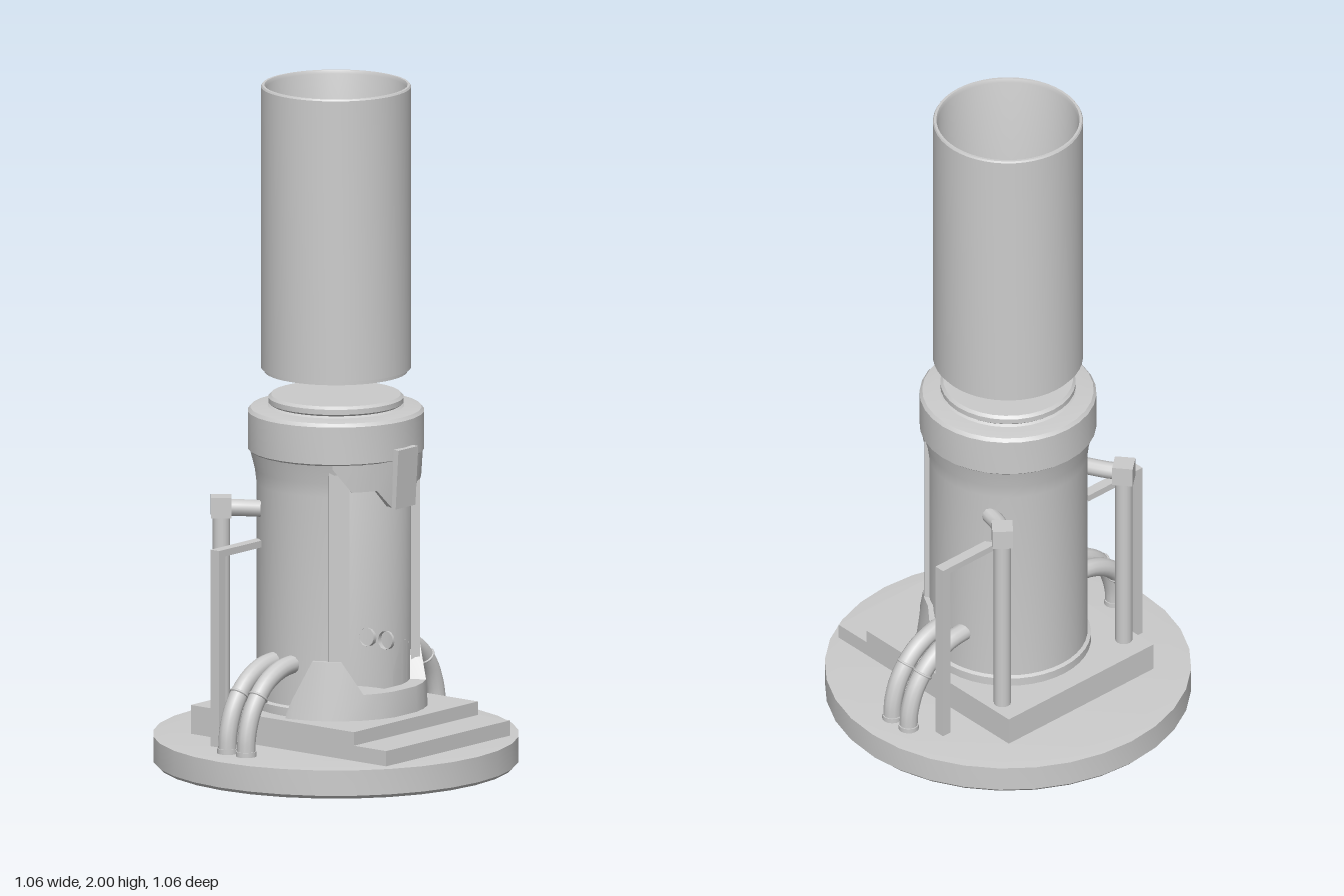
import * as THREE from 'three';
import { toCreasedNormals, mergeVertices } from 'three/addons/utils/BufferGeometryUtils.js';

const DEG = Math.PI / 180;
const material = new THREE.MeshStandardMaterial({ color: 0xcccccc, side: THREE.DoubleSide });

function add(parent, name, geometry, x = 0, y = 0, z = 0) {
  const mesh = new THREE.Mesh(geometry, material);
  mesh.name = name;
  mesh.position.set(x, y, z);
  parent.add(mesh);
  return mesh;
}

// Turned part from [radius, height] points, optionally only part of a circle
function turned(points, start = 0, sweep = Math.PI * 2, segments = 32) {
  const profile = points.map(([r, y]) => new THREE.Vector2(r, y));
  return toCreasedNormals(new THREE.LatheGeometry(profile, segments, start, sweep), 30 * DEG);
}

// Curved wall on the +x side. Stations: [angle in degrees, low, high, outer radius low, outer radius high]
function curvedWall(stations, inner) {
  const positions = [], index = [];
  for (const [angle, low, high, outLow, outHigh] of stations) {
    const c = Math.cos(angle * DEG), s = Math.sin(angle * DEG);
    for (const [r, y] of [[inner, low], [outLow, low], [outHigh, high], [inner, high]]) {
      positions.push(r * c, y, r * s);
    }
  }
  const last = (stations.length - 1) * 4;
  for (let i = 0; i < last; i += 4) {
    for (let j = 0; j < 4; j++) {
      const a = i + j, b = i + (j + 1) % 4;
      index.push(a, b, a + 4, b, b + 4, a + 4);
    }
  }
  index.push(0, 2, 1, 0, 3, 2, last, last + 1, last + 2, last, last + 2, last + 3);
  const geometry = new THREE.BufferGeometry();
  geometry.setAttribute('position', new THREE.Float32BufferAttribute(positions, 3));
  geometry.setIndex(index);
  return toCreasedNormals(mergeVertices(geometry), 30 * DEG);
}

// Mirrors a half list of stations (positive angles, falling) to the other side
function mirrored(half) {
  const negative = half.map(([a, ...rest]) => [-a, ...rest]);
  return [...negative, ...half.slice().reverse()];
}

function tube(points, radius) {
  const curve = new THREE.CatmullRomCurve3(points.map((p) => new THREE.Vector3(...p)));
  return new THREE.TubeGeometry(curve, 20, radius, 12);
}

export function createModel() {
  const model = new THREE.Group();
  model.name = 'column';

  // Round base and stepped platform
  add(model, 'base', turned([[0, 0], [0.52, 0], [0.53, 0.01], [0.53, 0.085], [0.48, 0.09], [0, 0.09]]));
  add(model, 'platform', new THREE.BoxGeometry(0.61, 0.085, 0.565), 0, 0.1325, 0.0075);
  add(model, 'step', new THREE.BoxGeometry(0.12, 0.045, 0.565), 0.365, 0.1125, 0.0075);

  // Body shell, open toward +x
  const shellStart = 133 * DEG, shellSweep = 274 * DEG;
  add(model, 'shell', turned([
    [0.23, 0.17], [0.23, 0.83], [0.235, 0.87], [0.25, 0.93],
    [0.235, 0.93], [0.215, 0.83], [0.215, 0.17],
  ], shellStart, shellSweep));
  add(model, 'footRing', turned([[0.24, 0.17], [0.24, 0.2], [0.23, 0.205]], shellStart, shellSweep));
  add(model, 'floor', turned([[0.225, 0.17], [0.225, 0.182], [0, 0.182]]));

  // Low wall around the opening, raised at each pillar
  add(model, 'sill', curvedWall(mirrored([
    [84, 0.17, 0.19, 0.267, 0.262], [80, 0.17, 0.23, 0.267, 0.26],
    [67, 0.17, 0.345, 0.267, 0.245], [57, 0.17, 0.345, 0.267, 0.245],
    [47, 0.17, 0.345, 0.267, 0.245], [33, 0.17, 0.25, 0.267, 0.262],
    [22, 0.17, 0.25, 0.267, 0.262], [11, 0.17, 0.25, 0.267, 0.262],
  ]), 0.215));

  // Hanging lip above the opening with its centre tab
  add(model, 'lip', curvedWall(mirrored([
    [53, 0.915, 0.94, 0.25, 0.252], [40, 0.845, 0.94, 0.246, 0.252],
    [30, 0.845, 0.94, 0.246, 0.252], [22, 0.845, 0.94, 0.246, 0.252],
    [10.5, 0.79, 0.94, 0.25, 0.255],
  ]), 0.228));
  const tab = add(model, 'lipTab', new THREE.BoxGeometry(0.03, 0.175, 0.09), 0.25, 0.875, 0);
  tab.rotation.z = -0.06;

  // Collar and cap closing the body
  add(model, 'collar', turned([
    [0, 0.925], [0.25, 0.925], [0.256, 0.93], [0.256, 1.04], [0.248, 1.05], [0.215, 1.055], [0, 1.055],
  ]));
  add(model, 'cap', turned([
    [0.205, 1.05], [0.19, 1.06], [0.196, 1.065], [0.196, 1.08], [0.188, 1.088], [0, 1.088],
  ]));

  // Open upper cylinder, floating above the cap
  add(model, 'upperCylinder', turned([
    [0.207, 1.155], [0.207, 1.165], [0.217, 1.167], [0.217, 1.995], [0.214, 2],
    [0.207, 2], [0.203, 1.99], [0.203, 1.155], [0.207, 1.155],
  ], 0, Math.PI * 2, 48));

  for (const side of [1, -1]) {
    const name = side > 0 ? 'front' : 'back';

    // Pillar at the edge of the opening
    const angle = 48.5 * DEG;
    const pillar = add(model, name + 'Pillar', new THREE.BoxGeometry(0.026, 0.745, 0.06),
      0.228 * Math.cos(angle), 0.5425, side * 0.228 * Math.sin(angle));
    pillar.rotation.y = -side * angle;

    // Pair of hoses with clamp rings
    for (const x of [-0.05, 0.02]) {
      add(model, name + 'Hose', tube([
        [x, 0.085, side * 0.435], [x, 0.15, side * 0.43], [x, 0.22, side * 0.405],
        [x, 0.285, side * 0.35], [x, 0.32, side * 0.28], [x, 0.33, side * 0.2],
      ], 0.027));
      const ring = add(model, name + 'HoseRing', new THREE.TorusGeometry(0.027, 0.004, 6, 16), x, 0.255, side * 0.38);
      ring.rotation.x = Math.PI / 2 - side * 0.7;
      add(model, name + 'HoseFoot', new THREE.CylinderGeometry(0.03, 0.03, 0.015, 16), x, 0.097, side * 0.434);
    }

    // Square bracket rail
    add(model, name + 'RailPost', new THREE.BoxGeometry(0.032, 0.585, 0.03), -0.133, 0.3775, side * 0.375);
    add(model, name + 'RailArm', new THREE.BoxGeometry(0.032, 0.02, 0.2), -0.133, 0.66, side * 0.28);

    // Vertical pipe with a corner block and elbow into the shell
    const pipeZ = side > 0 ? 0.245 : -0.23;
    add(model, name + 'Pipe', new THREE.CylinderGeometry(0.025, 0.025, 0.59, 16), -0.228, 0.465, pipeZ);
    const block = add(model, name + 'PipeBlock', new THREE.BoxGeometry(0.06, 0.06, 0.06), -0.228, 0.765, pipeZ);
    block.rotation.y = side * 40 * DEG;
    add(model, name + 'PipeElbow', tube([
      [-0.225, 0.762, pipeZ], [-0.18, 0.762, pipeZ - side * 0.03], [-0.125, 0.762, side * 0.185],
    ], 0.025));
  }
  return model;
}
